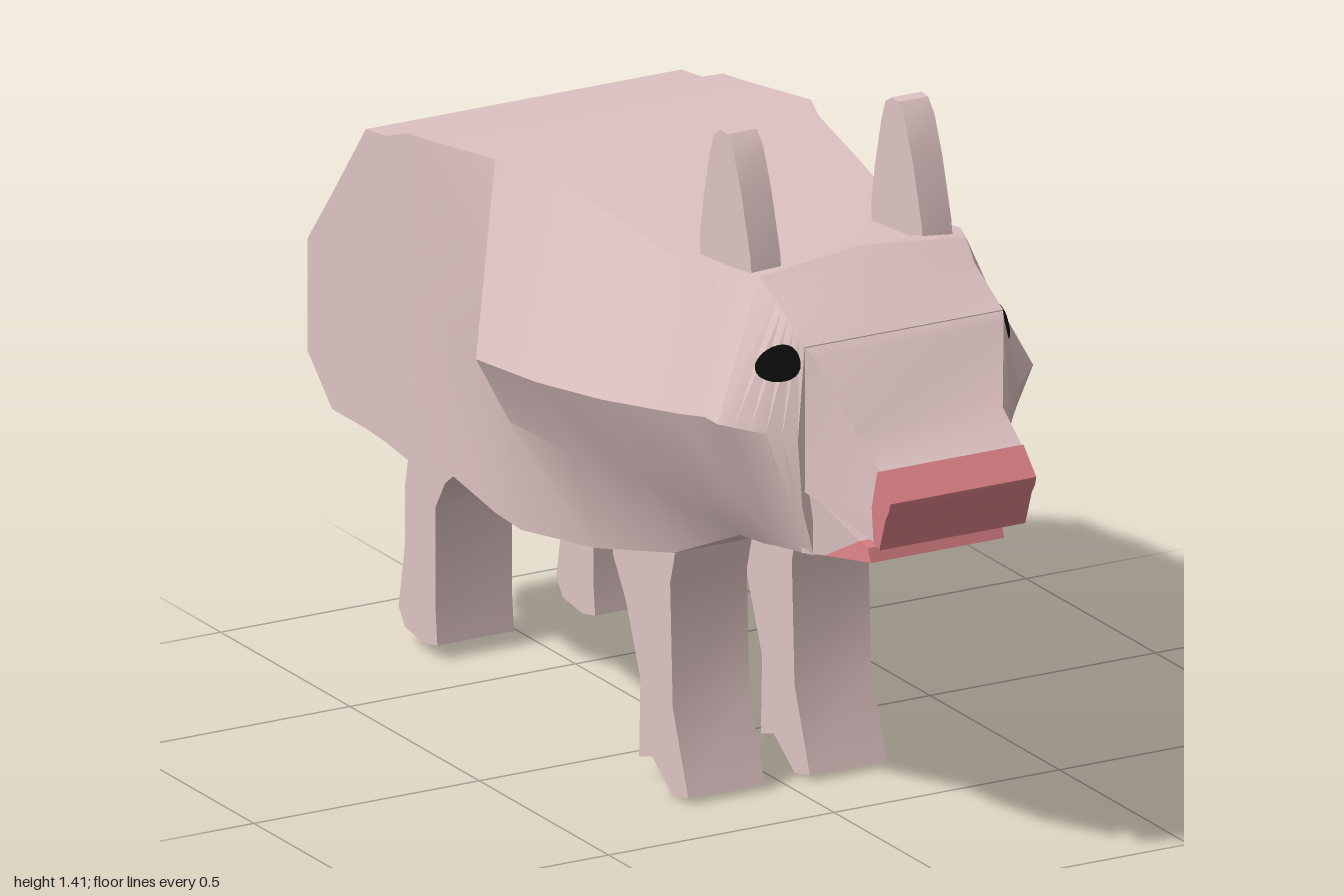
import * as THREE from 'three';
import { toCreasedNormals } from 'three/addons/utils/BufferGeometryUtils.js';

const skin = new THREE.MeshStandardMaterial({ color: 0xdec2c2 });
skin.name = 'skin';
const pink = new THREE.MeshStandardMaterial({ color: 0xd67e83 });
pink.name = 'pink';
const black = new THREE.MeshStandardMaterial({ color: 0x0a0a0a, side: THREE.DoubleSide });
black.name = 'black';

// Cross-sections, tail to cheeks:
// [z, centreTopY, then (y, half width) of back edge, flank, lower flank, belly edge]
const sections = [
  [-0.925, 0.80, 0.80, 0.35, 0.74, 0.35, 0.66, 0.35, 0.57, 0.35],
  [-0.83, 0.92, 0.92, 0.35, 0.80, 0.35, 0.67, 0.35, 0.48, 0.35],
  [-0.70, 1.09, 1.09, 0.35, 0.82, 0.35, 0.68, 0.35, 0.48, 0.35],
  [-0.62, 1.10, 1.10, 0.35, 0.82, 0.35, 0.68, 0.35, 0.475, 0.35],
  [-0.54, 1.13, 1.13, 0.35, 0.82, 0.35, 0.68, 0.35, 0.465, 0.35],
  [-0.43, 1.145, 1.145, 0.35, 0.82, 0.35, 0.68, 0.35, 0.495, 0.35],
  [-0.20, 1.18, 1.18, 0.35, 0.82, 0.375, 0.68, 0.36, 0.46, 0.35],
  [-0.10, 1.19, 1.185, 0.31, 0.82, 0.45, 0.68, 0.375, 0.455, 0.35],
  [0.10, 1.16, 1.16, 0.285, 0.83, 0.43, 0.67, 0.35, 0.47, 0.30],
  [0.30, 1.135, 1.13, 0.26, 0.85, 0.40, 0.67, 0.31, 0.51, 0.24],
  [0.52, 1.16, 1.15, 0.27, 0.88, 0.355, 0.70, 0.29, 0.61, 0.22],
  [0.61, 1.19, 1.165, 0.23, 0.90, 0.35, 0.73, 0.28, 0.62, 0.22],
];
const templeBack = [0.66, 1.155, 1.13, 0.22, 0.90, 0.35, 0.73, 0.27, 0.63, 0.22];
const templeFront = [0.77, 1.068, 1.068, 0.22, 0.88, 0.235, 0.74, 0.225, 0.64, 0.20];
const temple = t => templeBack.map((v, i) => v + (templeFront[i] - v) * t);
for (let i = 0; i <= 5; i++) sections.push(temple(i / 5));

function loft(rows) {
  const pos = [], idx = [], n = 9;
  for (const [z, yc, ...p] of rows) {
    pos.push(0, yc, z);
    for (let k = 0; k < 4; k++) pos.push(p[2 * k + 1], p[2 * k], z);
    for (let k = 3; k >= 0; k--) pos.push(-p[2 * k + 1], p[2 * k], z);
  }
  for (let i = 0; i < rows.length - 1; i++) {
    for (let j = 0; j < n; j++) {
      const a = i * n + j, b = i * n + (j + 1) % n;
      idx.push(a, a + n, b, b, a + n, b + n);
    }
  }
  const last = (rows.length - 1) * n;
  for (let j = 1; j < n - 1; j++) {
    idx.push(0, j, j + 1, last, last + j + 1, last + j);
  }
  const geo = new THREE.BufferGeometry();
  geo.setAttribute('position', new THREE.Float32BufferAttribute(pos, 3));
  geo.setIndex(idx);
  return toCreasedNormals(geo, 0.4);
}

// Side profile of (z, y) points given thickness from x0 to x1; width(z) optionally tapers it
function slab(points, x0, x1, width) {
  const shape = new THREE.Shape(points.map(([z, y]) => new THREE.Vector2(z, y)));
  const geo = new THREE.ExtrudeGeometry(shape, { depth: x1 - x0, bevelEnabled: false });
  geo.rotateY(-Math.PI / 2).translate(x1, 0, 0);
  if (width) {
    const p = geo.attributes.position;
    for (let i = 0; i < p.count; i++) p.setX(i, Math.sign(p.getX(i)) * width(p.getZ(i)));
  }
  return toCreasedNormals(geo, 0.6);
}

// Oval patch lying just above the temple surface
function eyeGeometry(side) {
  const geo = new THREE.CircleGeometry(1, 24);
  const p = geo.attributes.position;
  for (let i = 0; i < p.count; i++) {
    const z = 0.727 + 0.046 * p.getX(i) + 0.008 * p.getY(i);
    const y = 1.027 + 0.037 * p.getY(i);
    const s = temple((z - 0.66) / 0.11);
    const t = (s[2] - y) / (s[2] - s[4]);
    p.setXYZ(i, side * (s[3] + (s[5] - s[3]) * Math.max(t, 0) + 0.009), y, z);
  }
  geo.computeVertexNormals();
  return geo;
}

export function createModel() {
  const group = new THREE.Group();
  const add = (name, geo, mat) => {
    const mesh = new THREE.Mesh(geo, mat);
    mesh.name = name;
    group.add(mesh);
  };

  add('body', loft(sections), skin);

  // Muzzle and jaw, narrowing towards the nose
  const muzzleWidth = z => THREE.MathUtils.clamp(0.222 - (z - 0.77) * 0.6, 0.158, 0.222);
  add('muzzle', slab([[0.765, 1.07], [0.79, 1.05], [0.87, 0.91], [0.95, 0.858], [0.928, 0.78],
    [0.935, 0.708], [0.765, 0.775]], -0.2, 0.2, muzzleWidth), skin);
  add('nose', slab([[0.95, 0.858], [1.0, 0.807], [0.995, 0.79], [0.982, 0.77], [0.957, 0.70],
    [0.935, 0.708], [0.928, 0.78]], -0.162, 0.162), pink);
  const jawWidth = z => THREE.MathUtils.clamp(0.21 - (z - 0.77) * 0.6, 0.148, 0.21);
  add('jaw', slab([[0.74, 0.638], [0.74, 0.77], [0.77, 0.77], [0.865, 0.69], [0.80, 0.648]],
    -0.2, 0.2, jawWidth), skin);
  add('lowerLip', slab([[0.80, 0.648], [0.865, 0.69], [0.89, 0.682], [0.90, 0.655]],
    -0.2, 0.2, jawWidth), pink);

  // Ears and eyes
  const ear = [[0.575, 1.12], [0.565, 1.19], [0.53, 1.31], [0.50, 1.385], [0.475, 1.413], [0.45, 1.415],
    [0.425, 1.40], [0.41, 1.36], [0.385, 1.26], [0.37, 1.18], [0.375, 1.10]];
  for (const side of [1, -1]) {
    const label = side > 0 ? 'left' : 'right';
    add(label + 'Ear', slab(ear, side * 0.19 - 0.033, side * 0.19 + 0.033), skin);
    add(label + 'Eye', eyeGeometry(side), black);
  }

  // Legs; the hind pair is set slightly to the left
  const frontLeg = [[0.27, 0.56], [0.27, 0.50], [0.25, 0.43], [0.26, 0.18], [0.32, 0.012], [0.26, 0],
    [0.18, 0.055], [0.13, 0.04], [0.135, 0.20], [0.08, 0.34], [0.03, 0.42], [0.015, 0.56]];
  const hindLeg = [[-0.48, 0.52], [-0.50, 0.46], [-0.62, 0.37], [-0.657, 0.31], [-0.657, 0.10],
    [-0.65, 0.03], [-0.70, 0.02], [-0.775, 0.03], [-0.80, 0.065], [-0.775, 0.20], [-0.775, 0.32],
    [-0.745, 0.46], [-0.74, 0.52]];
  add('leftFrontLeg', slab(frontLeg, 0.05, 0.22), skin);
  add('rightFrontLeg', slab(frontLeg, -0.22, -0.05), skin);
  add('leftHindLeg', slab(hindLeg, 0.13, 0.30), skin);
  add('rightHindLeg', slab(hindLeg, -0.22, -0.05), skin);

  // Curled flat tail
  add('tail', slab([[-0.85, 0.92], [-0.87, 0.935], [-0.92, 0.93], [-0.965, 0.90], [-0.993, 0.85],
    [-1.0, 0.80], [-0.985, 0.75], [-0.955, 0.73], [-0.937, 0.735], [-0.935, 0.755], [-0.95, 0.77],
    [-0.955, 0.81], [-0.94, 0.86], [-0.90, 0.885], [-0.85, 0.89]], -0.016, 0.016), skin);

  return group;
}
